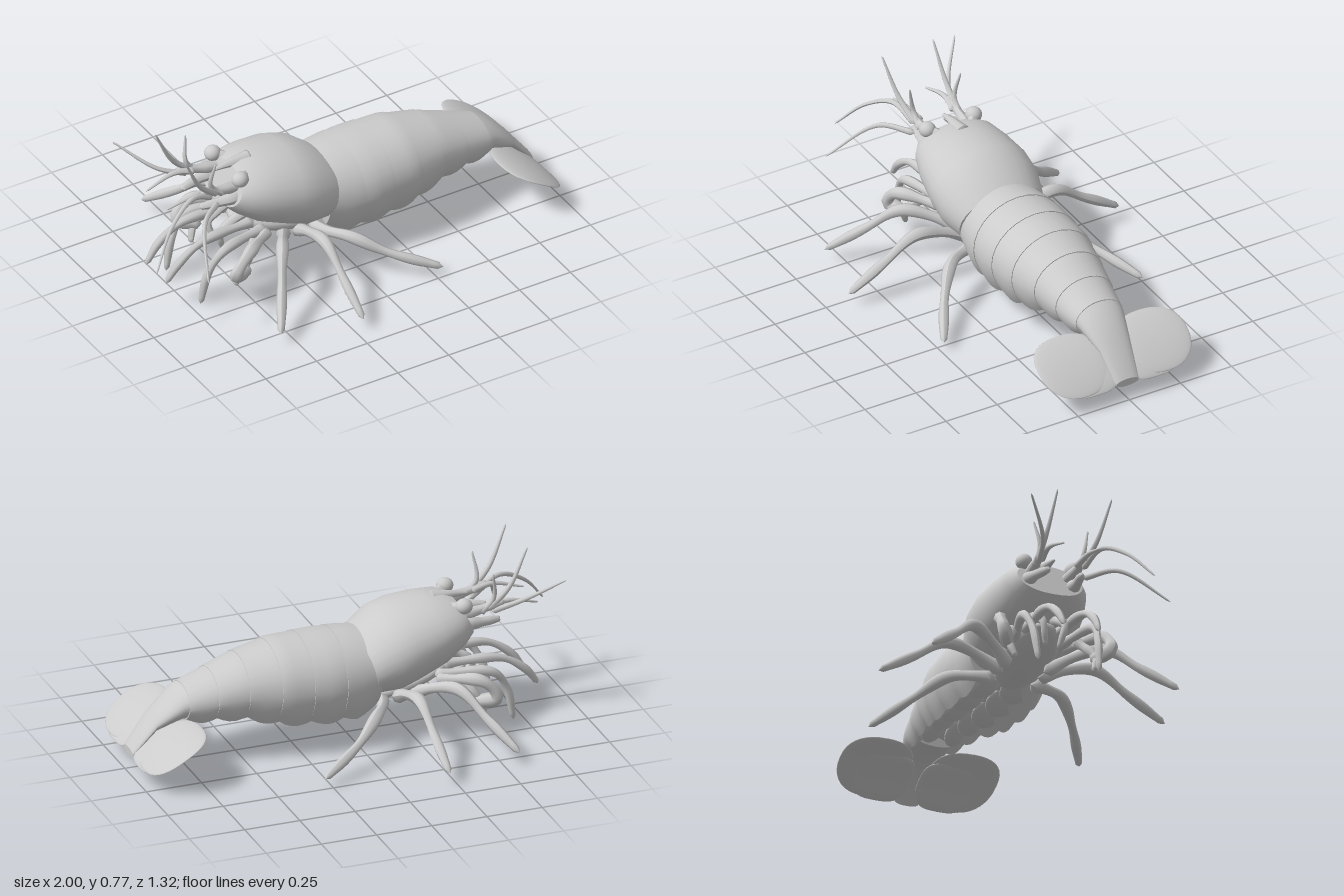
import * as THREE from 'three';
import { toCreasedNormals } from 'three/addons/utils/BufferGeometryUtils.js';

const material = new THREE.MeshStandardMaterial({ color: 0xcccccc, side: THREE.DoubleSide });
const { sin, cos, PI } = Math;

// Half outline of a cross-section as [width, height], from the back down to the belly
function outline(hollow) {
  const half = [], n = 7;
  for (let i = 0; i < n; i++) half.push([sin(i / n * PI / 2), cos(i / n * PI / 2)]);
  for (let i = 0; i <= n; i++) {
    const t = i / n, a = t * PI / 2;
    half.push(hollow ? [1 - 0.26 * t * t, -t] : [cos(a) ** 0.8, -sin(a)]);
  }
  // Vault under the hollow sections
  for (let i = 1; hollow && i <= n; i++) half.push([0.74 * (1 - i / n), -1 + 0.65 * sin(i / n * PI / 2)]);
  return half;
}
const ROUND = outline(false), HOLLOW = outline(true);

function add(group, name, geometry) {
  const mesh = new THREE.Mesh(geometry, material);
  mesh.name = name;
  group.add(mesh);
  return mesh;
}

// Skin over sections { xTop, xBot, top, mid, bot, w }, closed at both ends
function loft(half, sections) {
  const ring = [...half, ...half.slice(1, -1).reverse().map(([u, v]) => [-u, v])];
  const n = ring.length, pos = [], index = [];
  const pushRing = (s, k) => ring.forEach(([u, v]) => {
    v *= k;
    pos.push(s.xBot + (s.xTop - s.xBot) * (v + 1) / 2,
      s.mid + v * (v > 0 ? s.top - s.mid : s.mid - s.bot), u * k * s.w);
  });
  pushRing(sections[0], 0);
  sections.forEach(s => pushRing(s, 1));
  pushRing(sections[sections.length - 1], 0);
  for (let j = 0; j <= sections.length; j++) {
    for (let i = 0; i < n; i++) {
      const a = j * n + i, b = j * n + (i + 1) % n;
      index.push(a, b, a + n, b, b + n, a + n);
    }
  }
  const g = new THREE.BufferGeometry();
  g.setAttribute('position', new THREE.Float32BufferAttribute(pos, 3));
  g.setIndex(index);
  return toCreasedNormals(g, 0.6);
}

// Linear lookup in rows [x, ...values]
function lookup(rows, x) {
  let i = 0;
  while (i < rows.length - 2 && x > rows[i + 1][0]) i++;
  const t = (x - rows[i][0]) / (rows[i + 1][0] - rows[i][0]);
  return rows[i].map((v, k) => v + (rows[i + 1][k] - v) * t);
}

// Curved limb tapering from radius r0 to r1, thickened a little at its joints
function limb(points, r0, r1, side = 1, joint = 0) {
  const steps = 28, sides = 8;
  const curve = new THREE.CatmullRomCurve3(points.map(([x, y, z]) => new THREE.Vector3(x, y, z * side)));
  const g = new THREE.TubeGeometry(curve, steps, 1, sides);
  const p = g.attributes.position, v = new THREE.Vector3();
  for (let j = 0; j <= steps; j++) {
    const t = j / steps, c = curve.getPointAt(t);
    const r = j % steps === 0 ? 0 : (r0 + (r1 - r0) * t) * (1 + joint * cos(t * 5 * PI));
    for (let i = 0; i <= sides; i++) {
      const k = j * (sides + 1) + i;
      v.fromBufferAttribute(p, k).sub(c).multiplyScalar(r).add(c);
      p.setXYZ(k, v.x, v.y, v.z);
    }
  }
  g.computeVertexNormals();
  return g;
}

// Walking leg that arches over a knee and reaches the ground away from the body
function walkingLeg(rootX, tipX, tipZ, tipY, knee, bow, side) {
  const points = [0, 0.22, 0.45, 0.7, 1].map(f => {
    const fall = Math.max(0, (f - 0.45) / 0.55), rise = Math.min(1, f / 0.45);
    return [
      rootX + (tipX - rootX) * f - bow * sin(PI * f),
      0.17 + (knee - 0.17) * sin(rise * PI / 2) - (knee - tipY) * fall,
      0.08 + (tipZ - 0.08) * f,
    ];
  });
  return limb(points, 0.029, 0.017, side, 0.16);
}

// Flat rounded tail lobe, bent down toward the rear; a lower power gives squarer corners
function tailLobe(x, z, rx, rz, drop, power) {
  const g = new THREE.SphereGeometry(1, 36, 18), p = g.attributes.position;
  const square = a => Math.sign(a) * Math.abs(a) ** power;
  for (let i = 0; i < p.count; i++) {
    const px = x + rx * square(p.getX(i)), pz = z + rz * square(p.getZ(i));
    const d = px - 0.72;
    p.setXYZ(i, px, 0.235 - drop - 0.3 * d - d * d + 0.013 * p.getY(i), pz);
  }
  g.computeVertexNormals();
  return g;
}

function ellipsoid(group, name, center, size, tilt = 0) {
  const mesh = add(group, name, new THREE.SphereGeometry(1, 20, 14));
  mesh.position.set(...center);
  mesh.scale.set(...size);
  mesh.rotation.z = tilt;
}

export function createModel() {
  const model = new THREE.Group();
  model.name = 'shrimp';

  // Carapace, with leaning front and rear edges: top x, top, bottom, half width
  const carapace = [
    [-0.475, 0.56, 0.4, 0.15], [-0.43, 0.578, 0.355, 0.187], [-0.34, 0.582, 0.29, 0.216],
    [-0.22, 0.572, 0.24, 0.237], [-0.13, 0.543, 0.205, 0.237], [-0.03, 0.465, 0.2, 0.205],
  ].map(([x, top, bot, w]) => ({ xTop: x, xBot: x - 0.07, top, mid: bot + 0.5 * (top - bot), bot, w }));
  add(model, 'carapace', loft(ROUND, carapace));
  add(model, 'rostrum', limb([[-0.38, 0.56, 0], [-0.48, 0.562, 0], [-0.555, 0.555, 0]], 0.034, 0.006));
  ellipsoid(model, 'sternum', [-0.27, 0.228, 0], [0.22, 0.05, 0.12], -0.28);

  // Abdomen: overlapping plates with scalloped lower edges: x, top, bottom, half width
  const profile = [
    [-0.1, 0.475, 0.17, 0.194], [0, 0.488, 0.135, 0.21], [0.12, 0.493, 0.138, 0.222],
    [0.32, 0.488, 0.155, 0.208], [0.5, 0.445, 0.2, 0.166], [0.76, 0.348, 0.21, 0.11],
  ];
  const plates = 6, seam = i => -0.1 + 0.155 * i - 0.0028 * i * i;
  for (let i = 0; i < plates; i++) {
    const sections = [];
    for (let j = 0; j <= 5; j++) {
      const t = j / 5, x = seam(i) + (seam(i + 1) - seam(i) + 0.015) * t;
      const [, top, bot, w] = lookup(profile, x);
      const swell = 0.004 * t - 0.002;
      sections.push({
        xTop: x, xBot: x + 0.01, top: top + swell, mid: bot + 0.46 * (top - bot),
        bot: bot + 0.016 - 0.022 * sin(PI * t), w: w + swell,
      });
    }
    add(model, 'abdomenPlate' + (i + 1), loft(HOLLOW, sections));
  }

  // Telson between the tail lobes
  const telson = [
    [0.68, 0.376, 0.212, 0.122], [0.77, 0.342, 0.212, 0.108], [0.88, 0.24, 0.172, 0.076], [0.985, 0.1, 0.066, 0.055],
  ].map(([x, top, bot, w]) => ({ xTop: x, xBot: x, top, mid: (top + bot) / 2, bot, w }));
  add(model, 'telson', loft(ROUND, telson));

  // Parts mirrored on both sides
  for (const side of [1, -1]) {
    const half = new THREE.Group();
    half.name = side > 0 ? 'frontSideParts' : 'rearSideParts';
    model.add(half);
    const addLimb = (name, r0, r1, joint, ...points) => add(half, name, limb(points, r0, r1, side, joint));

    // Legs
    add(half, 'walkingLeg1', walkingLeg(-0.26, -0.567, 0.572, 0.055, 0.26, 0, side));
    add(half, 'walkingLeg2', walkingLeg(-0.2, -0.215, 0.662, 0.06, 0.255, 0, side));
    add(half, 'walkingLeg3', walkingLeg(-0.13, 0.283, 0.487, 0.042, 0.18, 0.095, side));
    addLimb('frontLeg1', 0.024, 0.014, 0.14, [-0.4, 0.28, 0.07], [-0.67, 0.27, 0.085], [-0.78, 0.2, 0.085], [-0.84, 0.12, 0.08]);
    addLimb('frontLeg2', 0.024, 0.014, 0.14, [-0.36, 0.25, 0.1], [-0.6, 0.25, 0.16], [-0.67, 0.16, 0.15], [-0.705, 0.002, 0.14]);
    addLimb('foldedLeg', 0.022, 0.03, 0.15, [-0.36, 0.24, 0.12], [-0.53, 0.25, 0.24], [-0.59, 0.17, 0.245], [-0.5, 0.14, 0.19]);
    addLimb('claw', 0.024, 0.012, 0.1, [-0.44, 0.25, 0.15], [-0.53, 0.15, 0.2], [-0.56, 0.07, 0.18]);
    addLimb('mouthpart', 0.026, 0.01, 0.1, [-0.44, 0.33, 0.05], [-0.55, 0.26, 0.05], [-0.53, 0.16, 0.03]);

    // Antenna stalks and short feelers; the tall pair leans the same way
    addLimb('antennaStalk', 0.036, 0.014, 0.06, [-0.44, 0.47, 0.1], [-0.55, 0.46, 0.1], [-0.67, 0.45, 0.075]);
    addLimb('antennuleStalk', 0.03, 0.014, 0.06, [-0.44, 0.5, 0.08], [-0.55, 0.51, 0.09], [-0.68, 0.54, 0.1]);
    addLimb('shortFeeler', 0.016, 0.004, 0, [-0.57, 0.5, 0.1], [-0.63, 0.56, 0.1], [-0.62, 0.685, 0.125]);
    addLimb('tallFeeler', 0.016, 0.004, 0, [-0.6, 0.51, 0.1], [-0.7, 0.6, 0.115 + 0.015 * side], [-0.79, 0.77, 0.125 + 0.037 * side]);
    addLimb('frontFeeler', 0.016, 0.004, 0, [-0.6, 0.52, 0.08], [-0.7, 0.535, 0.09], [-0.84, 0.5, 0.08]);

    // Stalked eye
    addLimb('eyeStalk', 0.025, 0.022, 0, [-0.42, 0.53, 0.06], [-0.49, 0.55, 0.11]);
    ellipsoid(half, 'eye', [-0.492, 0.552, 0.113 * side], [0.037, 0.034, 0.036]);

    // Tail fan
    add(half, 'outerTailLobe', tailLobe(0.86, 0.2 * side, 0.132, 0.162, 0, 0.86));
    add(half, 'innerTailLobe', tailLobe(0.895, 0.145 * side, 0.1, 0.13, 0.006, 0.65));

    // Swimmerets folded back under the plates
    for (let i = 0; i < plates - 1; i++) {
      const x = (seam(i) + seam(i + 1)) / 2 + 0.04;
      const [, top, bot, w] = lookup(profile, x);
      ellipsoid(half, 'swimmeret' + (i + 1), [x, bot + 0.2 * (top - bot), w * 0.36 * side], [0.08, 0.018, w * 0.33], -0.45);
    }
  }

  // Long whips sweeping unevenly to either side
  add(model, 'lowerWhip', limb([[-0.62, 0.5, 0.1], [-0.74, 0.55, 0.13], [-0.88, 0.48, 0.19], [-1, 0.34, 0.27]], 0.014, 0.004));
  add(model, 'sideWhip', limb([[-0.6, 0.47, 0.11], [-0.73, 0.47, 0.22], [-0.83, 0.32, 0.415]], 0.014, 0.004));
  add(model, 'upperWhip', limb([[-0.62, 0.5, -0.1], [-0.75, 0.55, -0.14], [-0.9, 0.67, -0.26]], 0.014, 0.004));

  return model;
}
